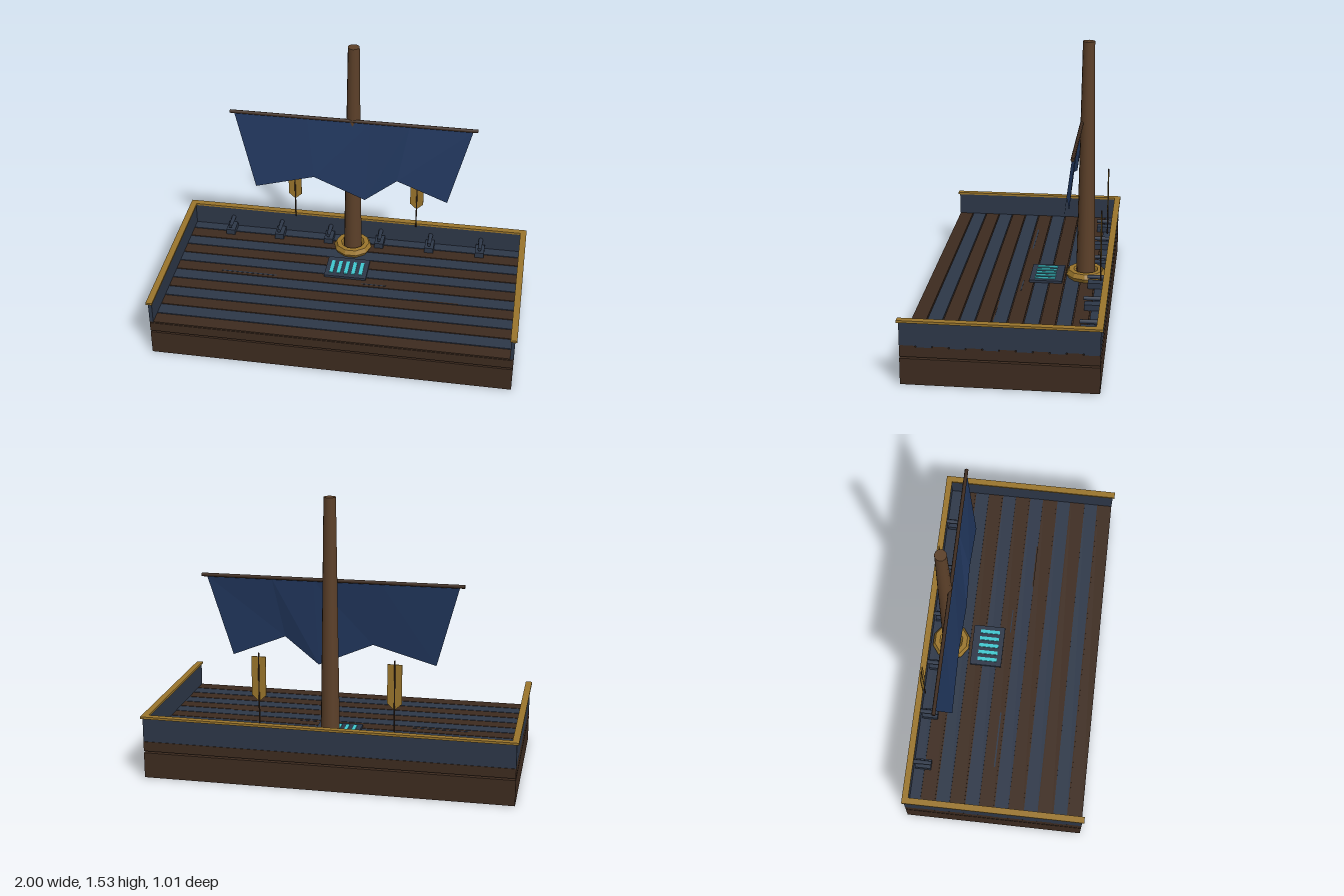
import * as THREE from 'three';

const mat = (name, color, extra = {}) => {
  const m = new THREE.MeshStandardMaterial({ color, ...extra });
  m.name = name;
  return m;
};

export function createModel() {
  const model = new THREE.Group();
  model.name = 'shipDeck';
  const wood = mat('darkWood', 0x3d2b1f);
  const mastWood = mat('mastWood', 0x5c4029);
  const navy = mat('navyPaint', 0x2d3748);
  const gold = mat('gold', 0x9a752c);
  const cloth = mat('sailCloth', 0x22385f, { side: THREE.DoubleSide, flatShading: true });
  const glow = mat('tealGlow', 0x40c8d0);

  const add = (name, geometry, material, x = 0, y = 0, z = 0, parent = model) => {
    const mesh = new THREE.Mesh(geometry, material);
    mesh.name = name;
    mesh.position.set(x, y, z);
    parent.add(mesh);
    return mesh;
  };
  // Box given by its limits on each axis
  const box = (name, material, x0, x1, y0, y1, z0, z1, parent = model) =>
    add(name, new THREE.BoxGeometry(x1 - x0, y1 - y0, z1 - z0), material,
      (x0 + x1) / 2, (y0 + y1) / 2, (z0 + z1) / 2, parent);

  // Hull in two layers with a narrow open seam
  box('lowerHull', wood, -0.99, 0.99, 0, 0.14, -0.495, 0.495);
  box('upperHull', wood, -0.99, 0.99, 0.15, 0.203, -0.495, 0.495);

  // Deck planks, alternating colours
  const pitch = 0.99 / 12;
  for (let i = 0; i < 12; i++) {
    const z = -0.495 + i * pitch;
    box('deckPlank', i % 2 ? wood : navy, -0.99, 0.99, 0.203, 0.211, z + 0.003, z + pitch - 0.003);
  }
  // Worn strips on the deck
  box('wornStrip', navy, -0.71, -0.39, 0.211, 0.2125, -0.028, -0.02);
  box('wornStrip', navy, 0.1, 0.24, 0.211, 0.2125, -0.026, -0.02);
  box('wornStrip', wood, 0.4, 0.66, 0.211, 0.2125, 0.073, 0.081);

  // Bulwarks and gold rails on three sides
  for (const s of [-1, 1]) {
    add('sideWall', new THREE.BoxGeometry(0.02, 0.124, 0.99), navy, s * 0.98, 0.273, 0);
    add('sideRail', new THREE.BoxGeometry(0.035, 0.012, 1.01), gold, s * 0.9825, 0.34, 0);
  }
  box('backWall', navy, -0.97, 0.97, 0.211, 0.335, -0.495, -0.475);
  box('backRail', gold, -0.965, 0.965, 0.334, 0.346, -0.505, -0.47);

  // Mast with gold collar
  add('mast', new THREE.CylinderGeometry(0.032, 0.052, 1.325, 12), mastWood, 0, 0.8725, -0.355);
  const collarGold = mat('gold', 0x9a752c, { flatShading: true });
  const collar = add('mastCollar', new THREE.TorusGeometry(0.082, 0.028, 6, 10), collarGold, 0, 0.233, -0.357);
  collar.rotation.x = -Math.PI / 2;

  // Yard
  const yard = add('yard', new THREE.CylinderGeometry(0.01, 0.01, 1.38, 8), wood, 0, 1.095, -0.325);
  yard.rotation.z = Math.PI / 2;

  // Torn sail: strip from the yard down to a ragged hem
  const hem = [[-0.545, 0.65], [-0.21, 0.745], [0.08, 0.62], [0.26, 0.765], [0.545, 0.65]];
  const points = [], index = [];
  hem.forEach(([x, y], i) => {
    points.push(x * 0.665 / 0.545, 1.09, -0.32, x, y, -0.266);
    if (i) {
      const a = 2 * i - 2;
      index.push(a, a + 1, a + 2, a + 2, a + 1, a + 3);
    }
  });
  const sail = new THREE.BufferGeometry();
  sail.setAttribute('position', new THREE.Float32BufferAttribute(points, 3));
  sail.setIndex(index);
  sail.computeVertexNormals();
  add('sail', sail, cloth);

  // Pointed banners on thin poles
  const outline = new THREE.Shape([[-0.038, 0.705], [-0.038, 0.495], [0, 0.46], [0.038, 0.495], [0.038, 0.705]]
    .map(([x, y]) => new THREE.Vector2(x, y)));
  const bannerGeometry = new THREE.ExtrudeGeometry(outline, { depth: 0.004, bevelEnabled: false });
  for (const s of [-1, 1]) {
    add('banner', bannerGeometry, gold, s * 0.357, 0, -0.458);
    add('bannerPole', new THREE.CylinderGeometry(0.004, 0.004, 0.39, 6), wood, s * 0.357, 0.53, -0.456);
  }

  // Small cannons along the back wall
  for (const s of [-1, 1]) for (const x of [0.15, 0.445, 0.74]) {
    const cannon = new THREE.Group();
    cannon.name = 'cannon';
    cannon.position.x = s * x;
    box('cannonBase', navy, -0.026, 0.026, 0.211, 0.243, -0.465, -0.378, cannon);
    const barrel = add('cannonBarrel', new THREE.CylinderGeometry(0.011, 0.013, 0.1, 8), navy, 0, 0.27, -0.425, cannon);
    barrel.rotation.x = Math.PI / 2;
    model.add(cannon);
  }

  // Glowing hatch grate
  box('hatchFrame', navy, -0.12, 0.12, 0.211, 0.224, -0.235, -0.055);
  for (let i = -2; i <= 2; i++)
    box('hatchSlot', glow, i * 0.042 - 0.01, i * 0.042 + 0.01, 0.222, 0.229, -0.195, -0.083);

  return model;
}
